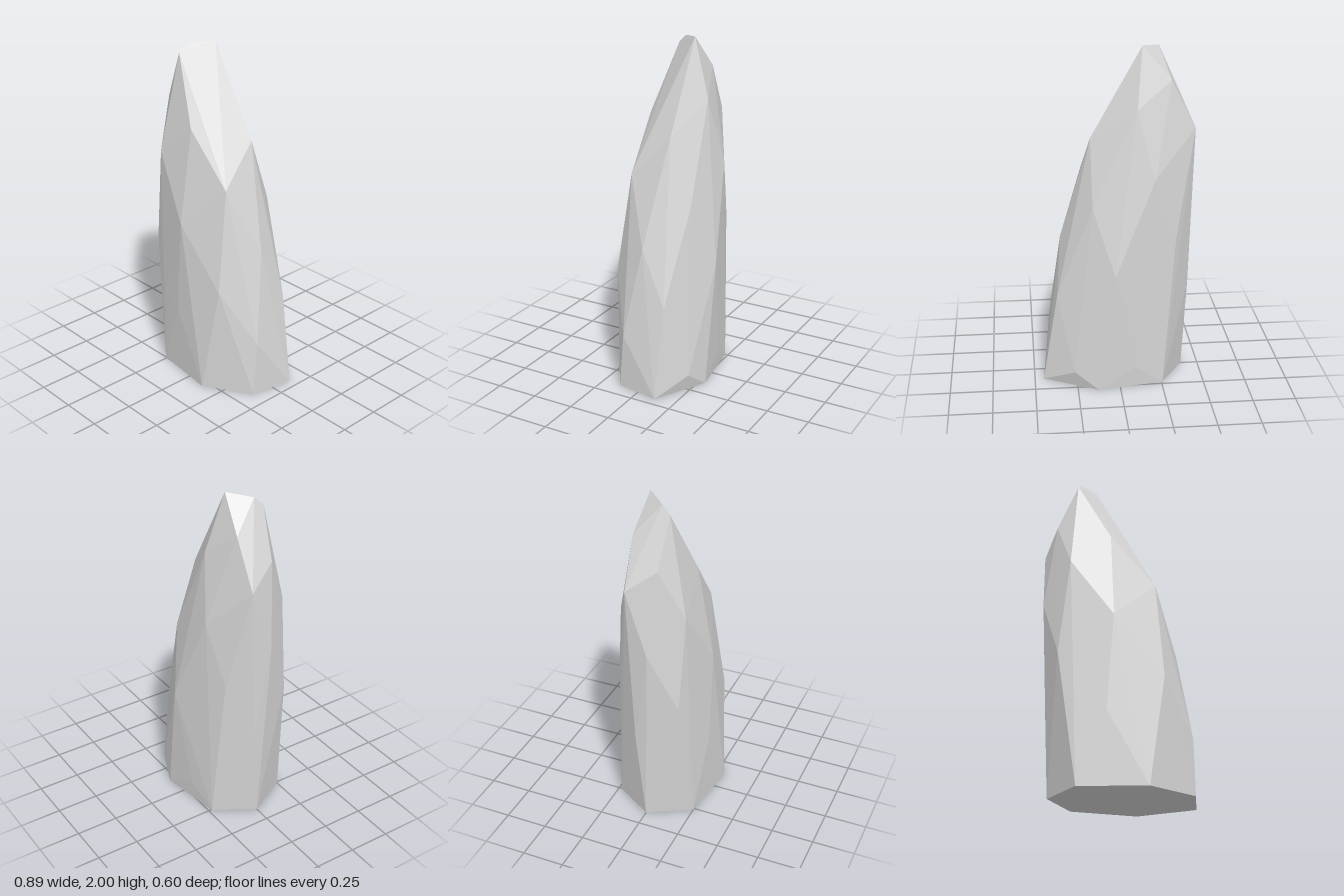
import * as THREE from 'three';
import { ConvexGeometry } from 'three/addons/geometries/ConvexGeometry.js';

export function createModel() {
  const group = new THREE.Group();
  group.name = 'standingStone';

  const stone = new THREE.MeshStandardMaterial({ color: 0xd5d5d5 });
  stone.name = 'pale grey stone';

  // Corners of the chiselled boulder, [x, y, z], from the ground up
  const corners = [
    // seven-sided foot
    [0.13, 0, 0.298], [0.4, 0, 0.135], [0.446, 0, -0.125], [0.13, 0, -0.291],
    [-0.255, 0, -0.23], [-0.398, 0, 0], [-0.26, 0, 0.25],
    // lower flanks
    [0.265, 0.1, -0.25], [-0.09, 0.12, -0.265], [0.4, 0.33, 0.107], [-0.1, 0.43, 0.28],
    [0.36, 0.54, -0.14], [-0.42, 0.56, -0.05], [0.225, 0.65, 0.247], [0.03, 0.72, -0.3],
    // middle
    [-0.367, 0.79, 0.197], [0.33, 0.86, 0.015], [-0.33, 0.91, -0.185], [-0.06, 1.0, 0.28],
    [0.152, 1.1, -0.2], [-0.449, 1.15, 0.04], [0.192, 1.25, 0.162], [-0.2, 1.27, -0.23],
    // shoulders
    [-0.305, 1.36, 0.212], [0.154, 1.48, -0.068], [-0.443, 1.53, -0.088], [-0.07, 1.55, 0.185],
    [-0.38, 1.65, 0.078], [-0.104, 1.66, -0.17],
    // tip
    [-0.302, 1.81, -0.095], [-0.26, 1.935, 0.1], [-0.245, 1.98, 0.05], [-0.14, 2, -0.065],
  ].map((p) => new THREE.Vector3(...p));

  const rock = new THREE.Mesh(new ConvexGeometry(corners), stone);
  rock.name = 'rock';
  group.add(rock);
  return group;
}
